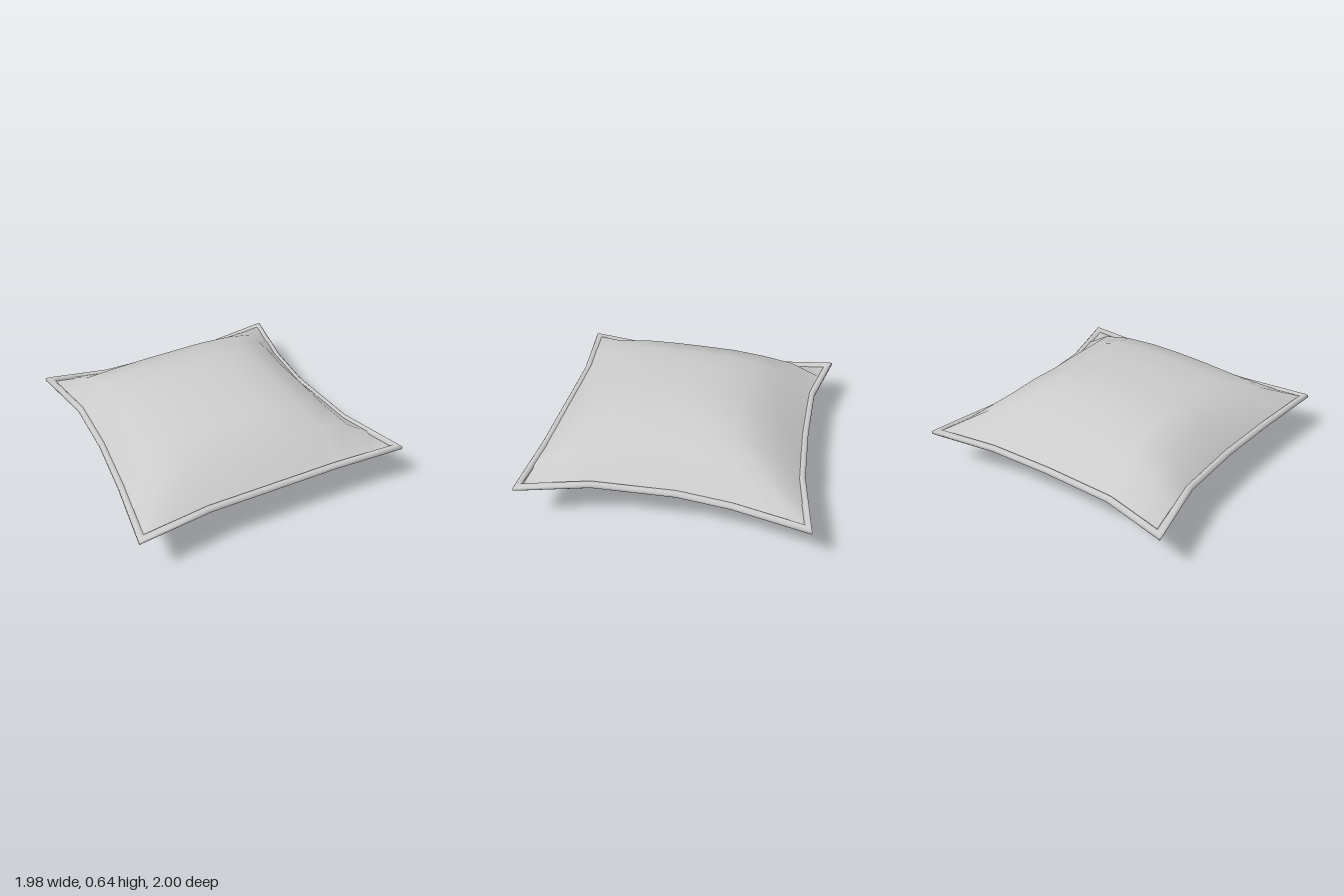
import * as THREE from 'three';

const MID = 0.318; // seam height, also the puff of each half
const R = 0.023; // piping radius

// Outline corners and side points (x, z), four segments per side:
// back, right, front, left
const OUTLINE = [
  [-0.955, -0.985], [-0.49, -0.885], [0, -0.885], [0.47, -0.91],
  [0.965, -1.0], [0.855, -0.47], [0.82, -0.1], [0.85, 0.47],
  [0.985, 0.96], [0.46, 0.935], [0, 0.935], [-0.48, 0.935],
  [-0.99, 0.995], [-0.92, 0.47], [-0.875, 0], [-0.865, -0.47],
].map(([x, z]) => new THREE.Vector2(x, z));
const N = OUTLINE.length;

// Mitred inward direction at every outline point
const MITRES = OUTLINE.map((p, i) => {
  const normal = (a, b) => {
    const d = b.clone().sub(a).normalize();
    return new THREE.Vector2(-d.y, d.x);
  };
  const n1 = normal(OUTLINE[(i + N - 1) % N], p);
  const n2 = normal(p, OUTLINE[(i + 1) % N]);
  return n1.clone().add(n2).divideScalar(1 + n1.dot(n2));
});
const SEAM = OUTLINE.map((p, i) => p.clone().addScaledVector(MITRES[i], R));

// Grid positions and puff profiles across the cushion
const U = [-1, -0.79, -0.535, -0.265, 0, 0.265, 0.535, 0.79, 1];
const V = [-1, -0.74, -0.51, -0.25, 0, 0.25, 0.5, 0.75, 1];
const PUFF_U = [0, 0.64, 0.86, 0.955, 1, 1, 0.905, 0.62, 0];
const PUFF_V = [0, 0.63, 0.9, 1, 1, 0.95, 0.86, 0.63, 0];

function makeGeometry(positions, index) {
  const g = new THREE.BufferGeometry();
  g.setAttribute('position', new THREE.Float32BufferAttribute(positions, 3));
  g.setIndex(index);
  g.computeVertexNormals();
  return g;
}

// Point on the seam, t measured in segments
function seamAt(t) {
  const i = Math.floor(t);
  return SEAM[i % N].clone().lerp(SEAM[(i + 1) % N], t - i);
}

// Blend the four curved sides into one patch
function patch(s, t) {
  const back = seamAt(4 * s), right = seamAt(4 + 4 * t);
  const front = seamAt(12 - 4 * s), left = seamAt(16 - 4 * t);
  const c0 = SEAM[0].clone().lerp(SEAM[4], s);
  const c1 = SEAM[12].clone().lerp(SEAM[8], s);
  return back.lerp(front, t).add(left.lerp(right, s)).sub(c0.lerp(c1, t));
}

// One puffed half; side is 1 for top, -1 for bottom
function cushionHalf(side) {
  const pos = [], index = [];
  V.forEach((v, j) => U.forEach((u, i) => {
    const p = patch((u + 1) / 2, (v + 1) / 2);
    pos.push(p.x, MID + side * MID * PUFF_U[i] * PUFF_V[j], p.y);
  }));
  const w = U.length;
  for (let j = 0; j < V.length - 1; j++) {
    for (let i = 0; i < w - 1; i++) {
      const a = j * w + i, b = a + 1, c = a + w, d = c + 1;
      if (side > 0) index.push(a, c, b, b, c, d);
      else index.push(a, b, c, b, d, c);
    }
  }
  return makeGeometry(pos, index);
}

// Closed round cord with mitred corners
function pipingGeometry(sides = 8) {
  const pos = [], index = [];
  SEAM.forEach((p, i) => {
    for (let k = 0; k < sides; k++) {
      const a = ((k + 0.5) / sides) * Math.PI * 2;
      const r = R / Math.cos(Math.PI / sides);
      const q = p.clone().addScaledVector(MITRES[i], -r * Math.cos(a));
      pos.push(q.x, MID + r * Math.sin(a), q.y);
      const k1 = (k + 1) % sides, n = ((i + 1) % N) * sides, m = i * sides;
      index.push(m + k, m + k1, n + k, n + k, m + k1, n + k1);
    }
  });
  return makeGeometry(pos, index);
}

export function createModel() {
  const group = new THREE.Group();
  group.name = 'cushion';
  const material = new THREE.MeshStandardMaterial({ color: 0xcccccc });
  const add = (name, geometry) => {
    const mesh = new THREE.Mesh(geometry, material);
    mesh.name = name;
    group.add(mesh);
  };
  add('topCover', cushionHalf(1));
  add('bottomCover', cushionHalf(-1));
  add('piping', pipingGeometry());
  return group;
}
